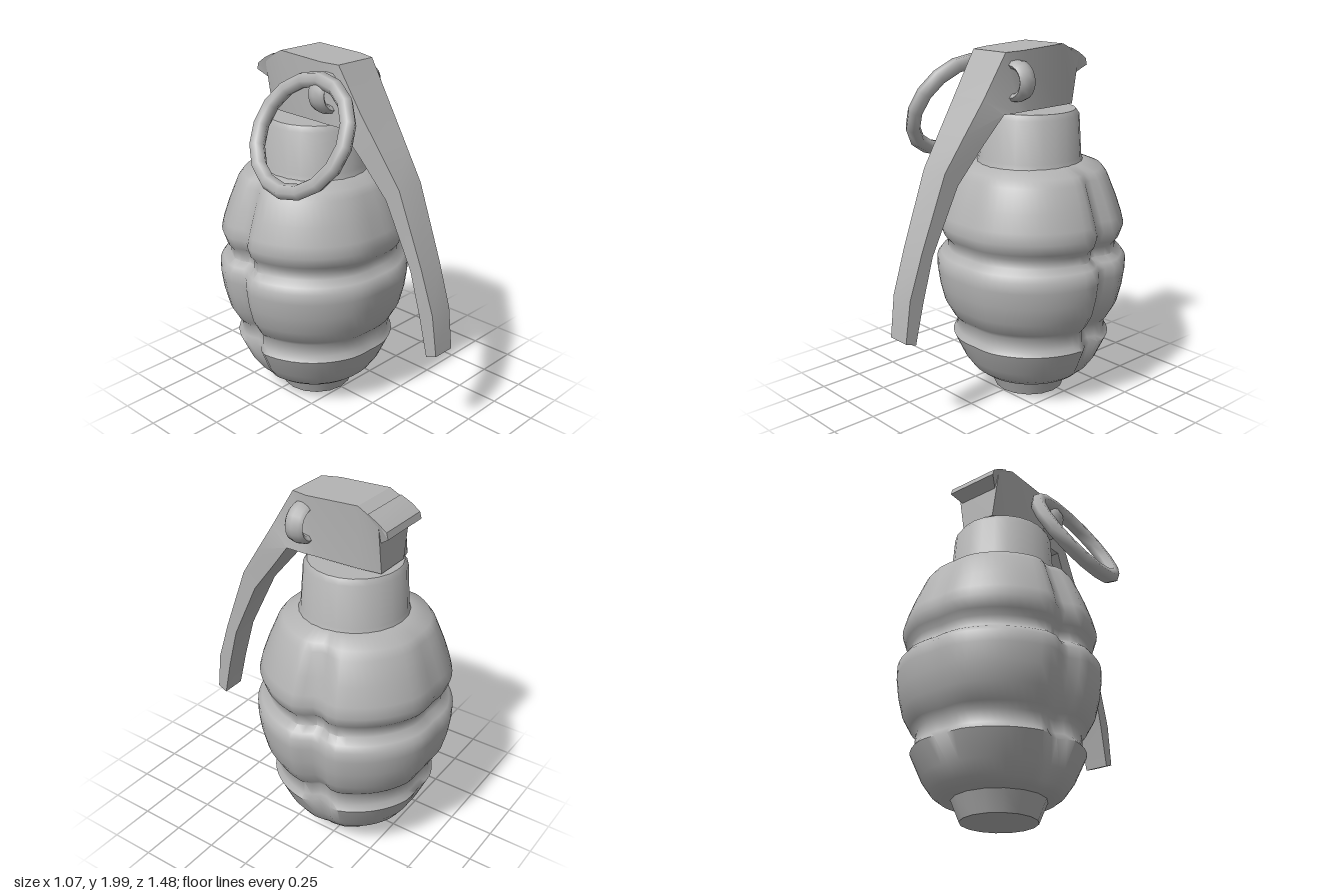
import * as THREE from 'three';
import { toCreasedNormals } from 'three/addons/utils/BufferGeometryUtils.js';

const metal = new THREE.MeshStandardMaterial({ color: 0xb4b4b4 });
metal.name = 'grey metal';

function part(name, geometry, crease = 0.6) {
  const mesh = new THREE.Mesh(toCreasedNormals(geometry, crease), metal);
  mesh.name = name;
  return mesh;
}

// Turned part from [radius, height] pairs, bottom to top
function turned(profile, segments) {
  return new THREE.LatheGeometry(profile.map(([r, y]) => new THREE.Vector2(r, y)), segments);
}

// Segmented shell: horizontal grooves in the profile, vertical grooves cut by angle
function shellGeometry() {
  const g = turned([
    [0, 0.1], [0.3, 0.11], [0.34, 0.14], [0.39, 0.21], [0.45, 0.34], [0.43, 0.37], [0.425, 0.44],
    [0.455, 0.47], [0.5, 0.55], [0.525, 0.65], [0.537, 0.74], [0.537, 0.8], [0.515, 0.83],
    [0.475, 0.86], [0.475, 0.91], [0.5, 0.94], [0.52, 1.0], [0.505, 1.06], [0.47, 1.16],
    [0.42, 1.28], [0.39, 1.32], [0.29, 1.36], [0, 1.37],
  ], 64);
  const grooves = [
    { angle: Math.PI / 2 + 0.14, depth: 0.055, inner: 0.03, outer: 0.2 },
    { angle: -Math.PI / 2 - 0.14, depth: 0.055, inner: 0.03, outer: 0.2 },
    { angle: Math.PI, depth: 0.02, inner: 0, outer: 0.3 },
    { angle: 0, depth: 0.012, inner: 0, outer: 0.3 },
  ];
  const p = g.attributes.position;
  for (let i = 0; i < p.count; i++) {
    const x = p.getX(i), z = p.getZ(i), r = Math.hypot(x, z);
    if (r < 0.3) continue;
    const a = Math.atan2(x, z);
    let cut = 0;
    for (const { angle, depth, inner, outer } of grooves) {
      const d = Math.abs(Math.atan2(Math.sin(a - angle), Math.cos(a - angle)));
      cut = Math.max(cut, depth * THREE.MathUtils.clamp((outer - d) / (outer - inner), 0, 1));
    }
    // Vertical grooves fade out where the shell narrows
    cut *= THREE.MathUtils.clamp((r - 0.3) / 0.15, 0, 1);
    p.setX(i, x * (r - cut) / r);
    p.setZ(i, z * (r - cut) / r);
  }
  return g;
}

// Bar through four-cornered sections, front to back:
// [outer z, y, half width, inner z, y, half width]
function loft(sections) {
  const positions = [], index = [];
  for (const [zo, yo, wo, zi, yi, wi] of sections) {
    positions.push(wo, yo, zo, -wo, yo, zo, -wi, yi, zi, wi, yi, zi);
  }
  for (let s = 0; s < sections.length - 1; s++) {
    for (let k = 0; k < 4; k++) {
      const a = s * 4 + k, b = s * 4 + (k + 1) % 4;
      index.push(a, a + 4, b, b, a + 4, b + 4);
    }
  }
  const e = (sections.length - 1) * 4;
  index.push(0, 1, 2, 0, 2, 3, e, e + 2, e + 1, e, e + 3, e + 2);
  const g = new THREE.BufferGeometry();
  g.setAttribute('position', new THREE.Float32BufferAttribute(positions, 3));
  g.setIndex(index);
  return g;
}

export function createModel() {
  const model = new THREE.Group();
  model.name = 'grenade';

  const shell = part('segmentedShell', shellGeometry(), 0.95);
  shell.position.z = -0.215;
  model.add(shell);

  const base = part('basePlug', turned([[0, 0], [0.2, 0], [0.25, 0.12], [0, 0.13]], 16));
  base.position.z = -0.205;
  model.add(base);

  const neck = part('neck', turned(
    [[0, 1.3], [0.31, 1.32], [0.285, 1.38], [0.27, 1.61], [0.25, 1.64], [0, 1.645]], 24));
  neck.position.z = -0.2;
  model.add(neck);

  // Safety lever running up into the fuse head
  model.add(part('leverAndFuseHead', loft([
    [0.74, 0.53, 0.065, 0.68, 0.51, 0.07],
    [0.71, 0.76, 0.07, 0.63, 0.73, 0.075],
    [0.63, 1.0, 0.075, 0.565, 0.97, 0.08],
    [0.48, 1.39, 0.085, 0.4, 1.315, 0.09],
    [0.36, 1.57, 0.1, 0.245, 1.51, 0.115],
    [0.245, 1.74, 0.115, 0.13, 1.655, 0.145],
    [0.1, 1.97, 0.125, 0.02, 1.655, 0.145],
    [0.0, 1.975, 0.15, -0.05, 1.655, 0.14],
    [-0.3, 1.99, 0.145, -0.3, 1.655, 0.13],
    [-0.42, 1.93, 0.15, -0.42, 1.65, 0.105],
  ]), 0.4));

  // Overhanging lip at the back of the head
  model.add(part('fuseHeadLip', loft([
    [-0.36, 1.965, 0.15, -0.38, 1.79, 0.11],
    [-0.42, 1.935, 0.155, -0.42, 1.82, 0.12],
    [-0.47, 1.9, 0.155, -0.48, 1.865, 0.155],
  ]), 0.4));

  // Pin loops on both sides of the fuse head
  for (const side of [1, -1]) {
    const loop = new THREE.TorusGeometry(0.085, 0.026, 8, 10, Math.PI);
    loop.rotateZ(-side * Math.PI / 2).scale(1, 1, 2.1);
    const mesh = part(side > 0 ? 'leftPinLoop' : 'rightPinLoop', loop, 1);
    mesh.position.set(side * 0.13, 1.82, 0.03);
    model.add(mesh);
  }

  // Pull ring hanging outward from the right loop
  const ring = part('pullRing', new THREE.TorusGeometry(0.296, 0.043, 6, 16)
    .rotateY(Math.PI / 2).rotateZ(-0.5), 1.1);
  ring.position.set(-0.335, 1.64, 0.04);
  model.add(ring);

  return model;
}
